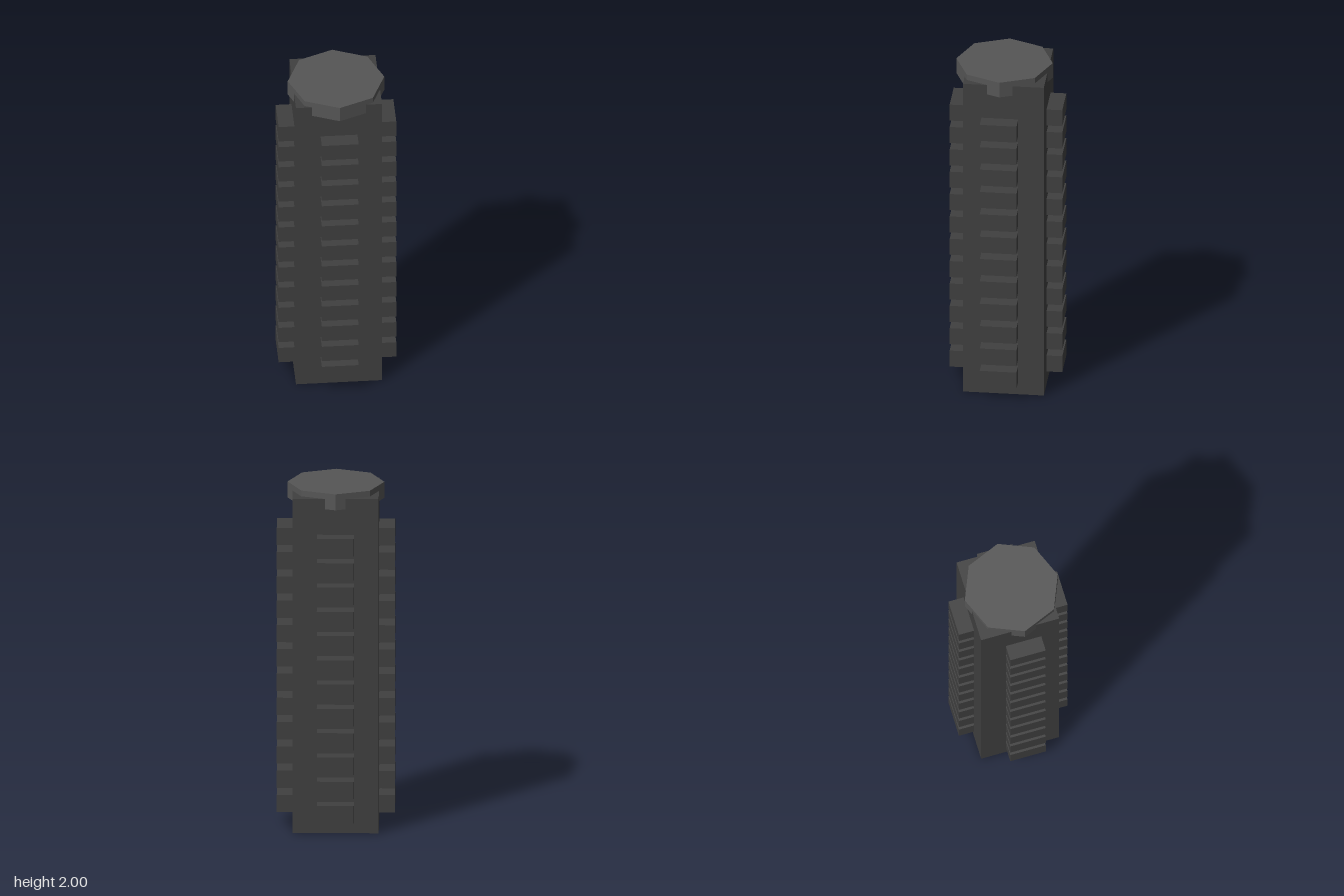
import * as THREE from 'three';

export function createModel() {
  const group = new THREE.Group();
  const dark = new THREE.MeshStandardMaterial({ color: 0x404040, flatShading: true });
  const light = new THREE.MeshStandardMaterial({ color: 0x565656, flatShading: true });

  const add = (name, geometry, material, x, y, z, parent = group) => {
    const mesh = new THREE.Mesh(geometry, material);
    mesh.name = name;
    mesh.position.set(x, y, z);
    parent.add(mesh);
    return mesh;
  };

  // Square shaft
  add('shaft', new THREE.BoxGeometry(0.49, 1.966, 0.462), dark, 0, 0.983, -0.001);

  // Octagonal cap, corners on the axes, slightly forward of centre
  add('cap', new THREE.CylinderGeometry(0.275, 0.275, 0.094, 8), light, 0, 1.953, 0.019);

  // Twelve rows of ribs, one on each face of the shaft
  const frontRib = new THREE.BoxGeometry(0.21, 0.102, 0.142);
  const sideRib = new THREE.BoxGeometry(0.14, 0.102, 0.21);
  for (let i = 0; i < 12; i++) {
    const row = new THREE.Group();
    row.name = `ribRow${i + 1}`;
    row.position.y = 0.133 + i * 0.1429;
    group.add(row);
    add('frontRib', frontRib, dark, 0, 0, 0.25, row);
    add('backRib', frontRib, dark, 0, 0, -0.251, row);
    add('leftRib', sideRib, dark, 0.265, 0, 0.019, row);
    add('rightRib', sideRib, dark, -0.265, 0, 0.019, row);
  }
  return group;
}
